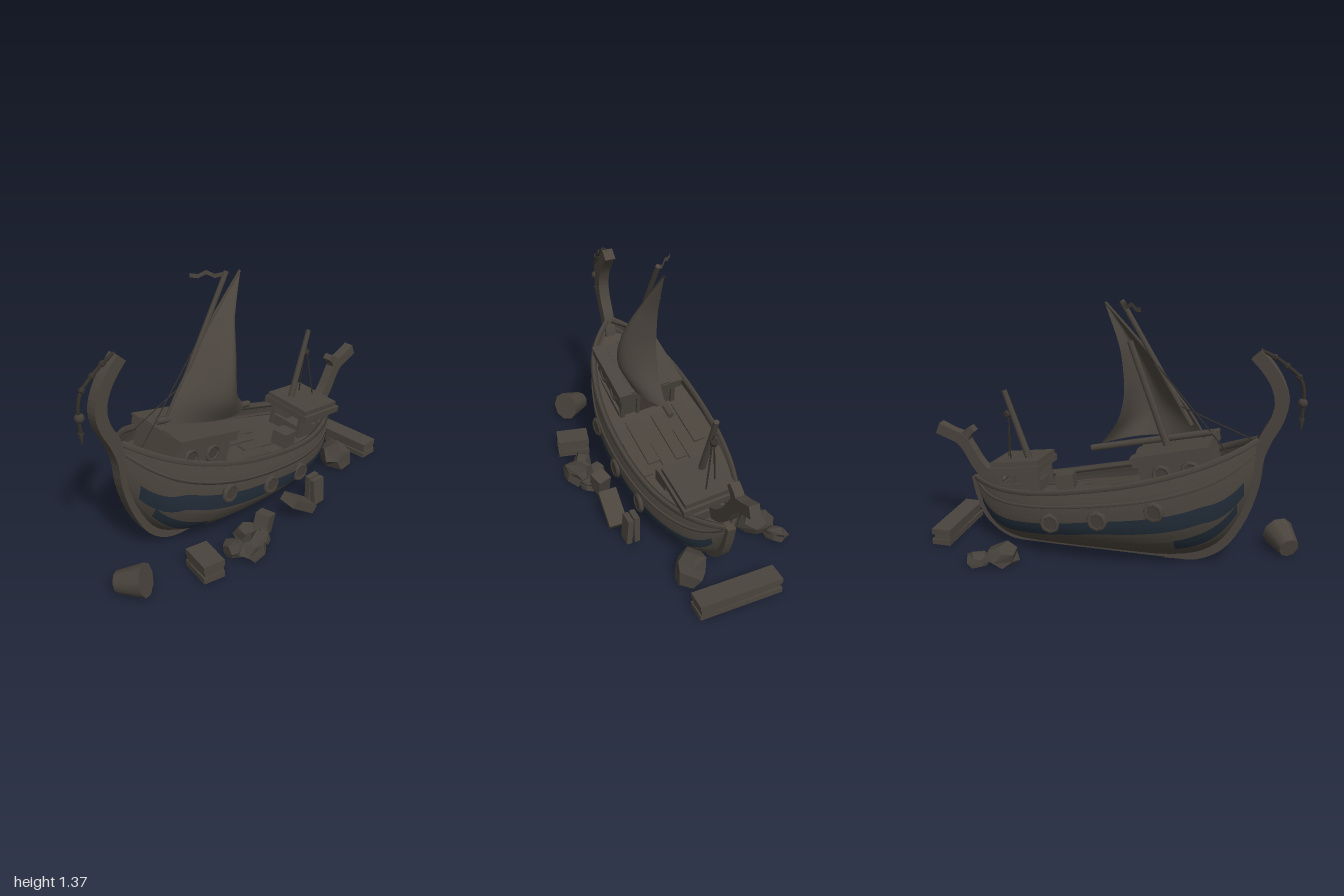
import * as THREE from 'three';

const mat = (name, color, side = THREE.FrontSide) => {
  const m = new THREE.MeshStandardMaterial({ color, side });
  m.name = name;
  return m;
};
const V = (x, y, z) => new THREE.Vector3(x, y, z);
const ZC = -0.025; // ship centre line
const ROLL = 0.09; // the hull lists towards +z

// Hull lines as [x, value]
const KEEL = [[-.77, .56], [-.76, .45], [-.7, .28], [-.6, .12], [-.48, .04], [-.3, .005], [0, 0], [.4, 0], [.58, .02], [.7, .12], [.78, .33]];
const SHEER = [[-.77, .7], [-.73, .675], [-.5, .57], [-.2, .47], [.1, .4], [.4, .345], [.6, .332], [.78, .345]];
const HALF = [[-.77, .005], [-.73, .06], [-.6, .168], [-.4, .24], [-.2, .27], [0, .275], [.2, .262], [.4, .222], [.6, .143], [.73, .055], [.78, .005]];
const SECTION = [[0, 0], [.1, .38], [.25, .72], [.45, .94], [.65, 1], [.85, 1], [1, .96]];

// Smooth interpolation through a short table
function interp(t, x) {
  x = THREE.MathUtils.clamp(x, t[0][0], t[t.length - 1][0]);
  let i = 0;
  while (i < t.length - 2 && x > t[i + 1][0]) i++;
  const slope = k => {
    const a = t[Math.max(0, k - 1)], b = t[Math.min(t.length - 1, k + 1)];
    return (b[1] - a[1]) / (b[0] - a[0]);
  };
  const h = t[i + 1][0] - t[i][0], s = (x - t[i][0]) / h, s2 = s * s, s3 = s2 * s;
  return (2 * s3 - 3 * s2 + 1) * t[i][1] + (s3 - 2 * s2 + s) * h * slope(i)
    + (3 * s2 - 2 * s3) * t[i + 1][1] + (s3 - s2) * h * slope(i + 1);
}
function hullPoint(x, v, side, off = 0) {
  const k = Math.max(0, interp(KEEL, x)), w = Math.max(0, interp(HALF, x));
  const z = side * (w * interp(SECTION, v) + off);
  return V(x, Math.max(0, k + (interp(SHEER, x) - k) * v - z * ROLL), ZC + z);
}

// Surface from a point function over a grid
function gridGeometry(nu, nv, fn) {
  const pos = [], idx = [];
  for (let i = 0; i <= nu; i++) for (let j = 0; j <= nv; j++) pos.push(...fn(i / nu, j / nv).toArray());
  for (let i = 0; i < nu; i++) for (let j = 0; j < nv; j++) {
    const a = i * (nv + 1) + j, b = a + nv + 1;
    idx.push(a, b, a + 1, b, b + 1, a + 1);
  }
  const g = new THREE.BufferGeometry();
  g.setAttribute('position', new THREE.Float32BufferAttribute(pos, 3));
  g.setIndex(idx);
  g.computeVertexNormals();
  return g;
}

// Flat curved timber: centre line [x, y, width], extruded across z
function timber(pts, depth) {
  const c = new THREE.CatmullRomCurve3(pts.map(p => V(p[0], p[1], p[2])));
  const left = [], right = [], n = pts.length * 3;
  for (let i = 0; i <= n; i++) {
    const p = c.getPoint(i / n), t = c.getTangent(i / n), l = Math.hypot(t.x, t.y);
    const nx = -t.y / l * p.z / 2, ny = t.x / l * p.z / 2;
    left.push(new THREE.Vector2(p.x + nx, p.y + ny));
    right.unshift(new THREE.Vector2(p.x - nx, p.y - ny));
  }
  const g = new THREE.ExtrudeGeometry(new THREE.Shape([...left, ...right]), { depth, bevelEnabled: false });
  return g.translate(0, 0, ZC - depth / 2);
}

export function createModel() {
  const model = new THREE.Group();
  const wood = mat('weathered wood', 0x4a443d, THREE.DoubleSide);
  const dark = mat('dark wood', 0x423c36);
  const blue = mat('faded blue paint', 0x232e3a, THREE.DoubleSide);
  const cloth = mat('old sailcloth', 0x4b453e, THREE.DoubleSide);
  const stone = mat('stone', 0x45403a);
  const rope = mat('rope', 0x35302b);

  const add = (name, g, m, parent = model) => {
    const o = new THREE.Mesh(g, m);
    o.name = name;
    parent.add(o);
    return o;
  };
  const box = (name, s, p, m, parent = model, r = [0, 0, 0]) => {
    const o = add(name, new THREE.BoxGeometry(...s), m, parent);
    o.position.set(...p);
    o.rotation.set(...r);
    return o;
  };
  const pole = (name, a, b, r0, r1, m, sides = 6) => {
    const d = b.clone().sub(a);
    const o = add(name, new THREE.CylinderGeometry(r1, r0, d.length(), sides), m);
    o.position.copy(a).addScaledVector(d, .5);
    o.quaternion.setFromUnitVectors(V(0, 1, 0), d.normalize());
  };
  const tube = (name, pts, r, m, sides = 5) =>
    add(name, new THREE.TubeGeometry(new THREE.CatmullRomCurve3(pts), pts.length * 3, r, sides), m);
  const xs = (n, a, b) => Array.from({ length: n + 1 }, (_, i) => a + (b - a) * i / n);

  // Lapped hull planks, painted bands and rails on both sides
  const rows = [0, .15, .3, .45, .62, .75, .88, 1];
  for (const side of [-1, 1]) {
    const patch = (name, x0, x1, lo, hi, oLo, oHi, m) => add(name, gridGeometry(48, 3, (u, t) => {
      const x = x0 + (x1 - x0) * u, a = lo(x), b = hi(x);
      return hullPoint(x, a + (b - a) * t, side, oLo + (oHi - oLo) * t);
    }), m);
    for (let i = 0; i < rows.length - 1; i++)
      patch('hullPlank', -.77, .78, () => Math.max(0, rows[i] - .02), () => rows[i + 1], i ? .005 : 0, 0, wood);
    // the stripe dips at the bow and drops towards the stern
    const bow = x => THREE.MathUtils.clamp((-.52 - x) / .18, 0, 1) * (side > 0 ? 1 : .5);
    const stern = x => THREE.MathUtils.clamp(x / .7, 0, 1);
    const low = side > 0 ? 0 : .06;
    patch('paintedStripe', -.71, .72, x => .48 - low - .26 * bow(x) - .16 * stern(x), x => .66 - low - .2 * bow(x) - .12 * stern(x), .008, .007, blue);
    patch('paintPatch', side > 0 ? -.65 : -.68, -.38, () => .16, x => .3 - .1 * Math.max(0, x + .5), .008, .007, blue);
    tube('gunwale', xs(24, -.76, .77).map(x => hullPoint(x, 1, side)), .018, wood, 4);
    tube('rubbingRail', xs(24, -.75, .76).map(x => hullPoint(x, .8, side, .002)), .011, wood, 4);

    // Round ports hung on the hull
    for (const [x, v] of [[-.29, .67], [0, .61], [.26, .56]]) {
      const port = new THREE.Group();
      port.name = 'hullPort';
      port.position.copy(hullPoint(x, v, side, .008));
      port.rotation.y = side > 0 ? -x * .25 : Math.PI + x * .25;
      add('portRing', new THREE.TorusGeometry(.042, .015, 5, 8), wood, port);
      add('portCover', new THREE.CylinderGeometry(.04, .04, .02, 8).rotateX(Math.PI / 2), dark, port);
      model.add(port);
    }
  }

  // Deck with loose boards
  const deckY = (x, z) => interp(SHEER, x) - .075 - (z - ZC) * ROLL;
  add('deck', gridGeometry(30, 1, (u, t) => {
    const x = -.74 + 1.48 * u, p = hullPoint(x, .82, t * 2 - 1, -.004);
    return V(x, deckY(x, p.z), p.z);
  }), wood);
  for (const [x, z, l] of [[-.05, -.2, .3], [.1, -.13, .26], [0, -.06, .34], [.15, .02, .28], [-.02, .09, .32], [.08, .16, .25]])
    box('deckBoard', [l, .012, .066], [x, deckY(x, z) + .006, z], wood, model, [ROLL, 0, -.22]);
  box('deckCrate', [.1, .08, .09], [.29, .33, .08], wood, model, [ROLL, .1, -.15]);

  // Stem, keel and stern timbers
  add('bowPost', timber([[-.3, .018, .035], [-.48, .035, .04], [-.6, .115, .05], [-.7, .28, .05], [-.755, .46, .05], [-.765, .6, .06],
    [-.8, .71, .065], [-.85, .81, .065], [-.867, .9, .068], [-.842, .99, .065], [-.79, 1.07, .065], [-.733, 1.13, .065]], .06), wood);
  add('keel', timber([[-.32, .016, .03], [0, .016, .03], [.4, .016, .03], [.58, .03, .035], [.7, .12, .04], [.745, .22, .045], [.775, .35, .045]], .045), wood);
  add('sternPost', timber([[.62, .32, .06], [.7, .365, .065], [.76, .425, .065], [.805, .5, .06], [.85, .56, .065], [.91, .585, .06], [.985, .615, .065]], .055), wood);
  add('sternFork', timber([[.845, .54, .07], [.82, .59, .05], [.78, .625, .035]], .05), wood);

  // Hanging charm at the bow
  tube('charmChain', [V(-.75, 1.15, ZC), V(-.82, 1.12, ZC), V(-.88, 1.08, ZC), V(-.94, 1.03, ZC), V(-.965, .97, ZC), V(-.965, .8, ZC)], .01, rope);
  for (const [x, y] of [[-.82, 1.12], [-.88, 1.08], [-.94, 1.03]])
    add('chainKnot', new THREE.IcosahedronGeometry(.018, 0).translate(x, y, ZC), rope);
  add('charmBead', new THREE.IcosahedronGeometry(.025, 1).translate(-.965, .9, ZC), dark);
  add('charmSpike', new THREE.ConeGeometry(.015, .07, 5).rotateX(Math.PI).translate(-.965, .79, ZC), dark);

  // Fore cabin
  const fore = new THREE.Group();
  fore.name = 'foreCabin';
  fore.position.set(-.385, .495, ZC);
  fore.rotation.set(ROLL * .5, 0, -.24);
  model.add(fore);
  box('cabinWalls', [.35, .22, .31], [0, -.01, 0], wood, fore);
  box('cabinRoof', [.4, .045, .365], [.01, .117, 0], wood, fore);
  for (let i = 0; i < 5; i++)
    box('roofPlank', [.41 - .02 * (i % 2), .012, .0745], [.01, .143, -.15 + i * .075], wood, fore);
  for (const s of [-1, 1]) {
    box('wallSill', [.36, .025, .02], [0, -.04, s * .16], wood, fore);
    for (const x of [-.075, .075]) {
      add('windowRing', new THREE.TorusGeometry(.04, .012, 5, 8), wood, fore).position.set(x, .035, s * .158);
      add('windowPane', new THREE.CylinderGeometry(.036, .036, .008, 8).rotateX(Math.PI / 2), dark, fore).position.set(x, .035, s * .157);
    }
    box('doorPost', [.02, .2, .02], [.18, 0, s * .06], wood, fore);
    box('cornerPost', [.025, .21, .025], [.175, 0, s * .15], wood, fore);
  }
  box('doorway', [.006, .17, .1], [.177, 0, 0], dark, fore);

  // Open wheelhouse aft
  const aft = new THREE.Group();
  aft.name = 'aftCabin';
  aft.position.set(.505, .35, .005);
  aft.rotation.set(ROLL, 0, -.13);
  model.add(aft);
  for (const s of [-1, 1]) {
    box('lowerWall', [.21, .06, .02], [-.01, -.035, s * .1], wood, aft);
    box('upperWall', [.25, .03, .025], [0, .06, s * .1], wood, aft);
    box('solidWall', [.09, .12, .018], [-.075, 0, s * .1], wood, aft);
    box('endWall', [.02, .06, .19], [s * .1, -.035, 0], wood, aft);
    for (const x of [-.115, -.03, .035, .1]) box('windowPost', [.022, .13, .022], [x, .005, s * .1], wood, aft);
  }
  box('aftRoof', [.29, .035, .31], [0, .08, 0], wood, aft);
  box('aftRoofTop', [.27, .03, .28], [-.005, .11, 0], wood, aft);

  // Masts and spars
  pole('aftMast', V(.45, .44, ZC), V(.595, .85, ZC), .02, .015, wood);
  pole('mainMast', V(-.35, .5, -.04), V(-.1, 1.16, -.04), .022, .016, wood);
  pole('topMast', V(-.42, .74, -.02), V(-.05, 1.36, -.02), .014, .014, wood);
  pole('boom', V(-.53, .713, -.02), V(.11, .57, -.02), .018, .018, wood);

  // Bellied triangular sail with a thin spar on its leading edge
  const luffPoints = [V(-.49, .68, -.015), V(-.415, .8, -.015), V(-.315, .93, -.015), V(-.225, 1.06, -.015), V(-.13, 1.17, -.015), V(.036, 1.345, -.012)];
  const luff = new THREE.CatmullRomCurve3(luffPoints);
  const leech = new THREE.CatmullRomCurve3([V(.06, .595, -.015), V(-.03, .73, -.015), V(-.063, .87, -.015), V(-.06, .98, -.015), V(-.04, 1.12, -.015), V(.04, 1.345, -.012)]);
  tube('yard', luffPoints, .008, wood);
  add('sail', gridGeometry(14, 16, (s, t) => {
    const p = luff.getPoint(t).lerp(leech.getPoint(t), s);
    const belly = interp([[0, .11], [.2, .165], [.45, .155], [.75, .09], [1, 0]], t);
    p.z += belly * Math.pow(Math.max(0, Math.sin(Math.PI * Math.pow(s, 1.35))), .8);
    return p;
  }), cloth);
  const pennant = [[-.05, 1.35, -.02], [-.09, 1.335, -.06], [-.12, 1.355, -.09], [-.15, 1.335, -.115], [-.18, 1.34, -.145]];
  add('pennant', gridGeometry(4, 1, (u, t) => {
    const [x, y, z] = pennant[Math.round(u * 4)];
    return V(x, y + (t - .5) * .022, z);
  }), cloth);

  // Rigging
  for (const [a, b] of [
    [V(-.2, 1.09, -.03), V(-.62, .6, -.03)], [V(-.36, .84, -.03), V(-.74, .69, ZC)],
    [V(.575, .78, ZC), V(.6, .45, .02)], [V(.575, .78, ZC), V(.56, .46, -.05)]])
    pole('riggingLine', a, b, .004, .004, rope, 4);
  add('rigKnot', new THREE.IcosahedronGeometry(.024, 0).translate(.58, .72, ZC), rope);

  // Stacked wreckage timbers
  const layers = (name, n, [w, h, d], x, z, ry) => {
    for (let i = 0; i < n; i++)
      box(name, [w - .012 * (i % 2), h, d - .012 * (i % 2)], [x, h * (i + .5), z], wood, model, [0, ry + .03 * (i % 2), 0]);
  };
  layers('plankStack', 3, [.12, .034, .18], -.54, .32, -.22);
  layers('longBeam', 3, [.105, .03, .45], .915, -.005, 0);
  box('uprightPlank', [.075, .16, .03], [.31, .08, .28], wood);
  box('uprightPlank', [.08, .15, .03], [.31, .077, .32], wood, model, [-.08, 0, 0]);
  box('fallenPlank', [.2, .05, .1], [.14, .085, .335], wood, model, [.1, -.08, -.6]);
  box('brokenBlock', [.08, .11, .08], [-.11, .07, .31], wood, model, [.1, .3, -.3]);

  // Tapered log end leaning back on the ground
  const log = add('log', new THREE.CylinderGeometry(.086, .055, .15, 9).rotateX(Math.PI / 2), wood);
  log.position.set(-.9, .07, .19);
  log.rotation.set(-.25, .55, 0, 'YXZ');

  // Faceted rocks, flat on the ground: [x, z, width, height, depth, turn]
  const rocks = [[-.27, .39, .19, .11, .13, .3], [-.35, .33, .1, .1, .1, 1], [-.22, .3, .13, .12, .09, 2],
    [-.17, .35, .1, .07, .1, .8], [.69, .14, .17, .16, .16, .5], [.51, -.33, .19, .1, .16, 1.2], [.62, -.4, .13, .075, .09, .7]];
  rocks.forEach(([x, z, w, h, d, a], k) => {
    const g = new THREE.DodecahedronGeometry(1, 0), p = g.attributes.position;
    for (let i = 0; i < p.count; i++) {
      const X = p.getX(i), Y = p.getY(i), Z = p.getZ(i);
      const f = 1 + .16 * Math.sin(X * 5 + Y * 7 + Z * 3 + k * 2);
      p.setXYZ(i, X * f * w * .54, Math.max(0, (Y * f + .6) * h / 1.55), Z * f * d * .54);
    }
    g.computeVertexNormals();
    const o = add('rock', g, stone);
    o.position.set(x, 0, z);
    o.rotation.y = a;
  });

  return model;
}
